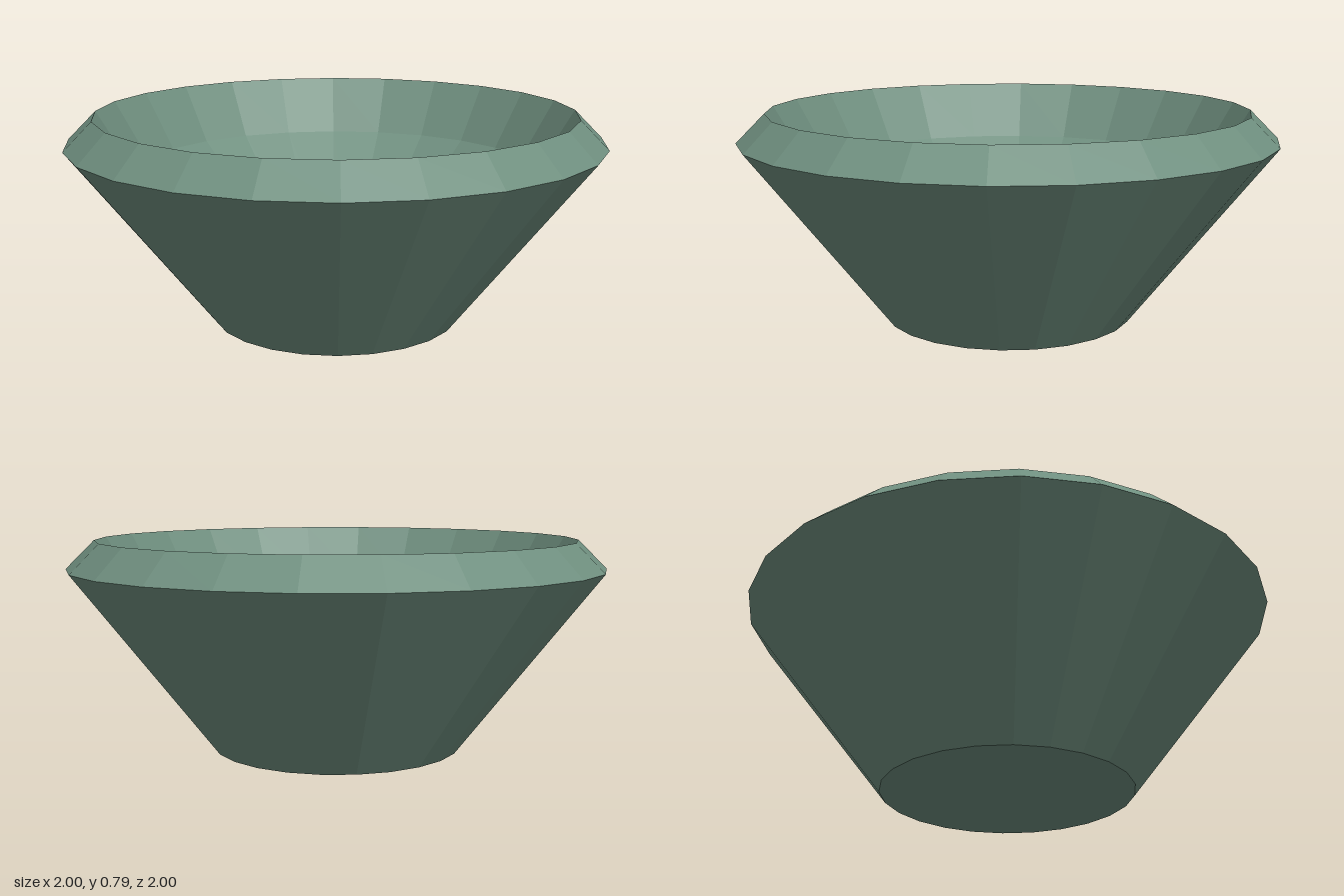
import * as THREE from 'three';

const SIDES = 24;

export function createModel() {
  const group = new THREE.Group();
  group.name = 'bowl';

  // Closed section: base, flared wall, bevelled rim, inner lip, sloping inside, floor
  const profile = [
    [0, 0],
    [0.47, 0],
    [1, 0.685],
    [0.895, 0.79],
    [0.765, 0.57],
    [0.29, 0.16],
    [0, 0.16],
  ].map(([r, y]) => new THREE.Vector2(r, y));

  const material = new THREE.MeshStandardMaterial({ color: 0x6f8f7f, flatShading: true });
  const body = new THREE.Mesh(new THREE.LatheGeometry(profile, SIDES), material);
  body.name = 'bowlBody';
  group.add(body);

  return group;
}
